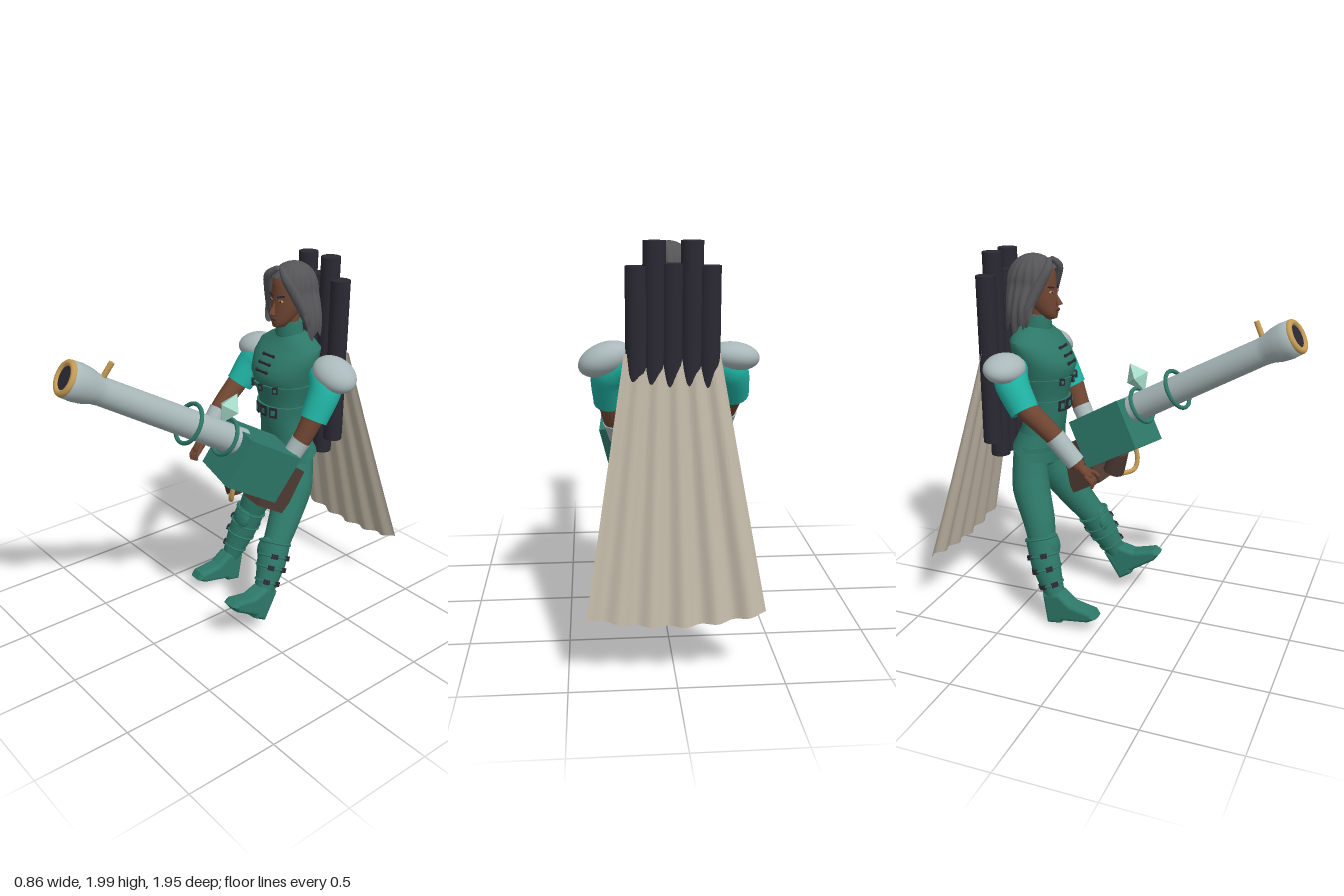
import * as THREE from 'three';
import { toCreasedNormals } from 'three/addons/utils/BufferGeometryUtils.js';

const V = (x, y, z) => new THREE.Vector3(x, y, z);
const { lerp, clamp, smoothstep } = THREE.MathUtils;

export function createModel() {
  const root = new THREE.Group();
  const colour = (name, hex, side = THREE.FrontSide) => {
    const m = new THREE.MeshStandardMaterial({ color: hex, side });
    m.name = name;
    return m;
  };
  const green = colour('green leather', 0x2d7868, THREE.DoubleSide), teal = colour('bright teal', 0x20b2a2);
  const metal = colour('pale metal', 0xa9b8ba), skin = colour('skin', 0x6f4532);
  const hairMat = colour('grey hair', 0x555558, THREE.DoubleSide), dark = colour('dark iron', 0x2a2933);
  const cloth = colour('beige cloth', 0xbcb3a2, THREE.DoubleSide), gold = colour('gold', 0xc49b55);
  const brown = colour('brown leather', 0x4d3932), mint = colour('mint crystal', 0xa5d8c8);

  const add = (name, geo, mat, pos = [0, 0, 0], rot = [0, 0, 0], scale = [1, 1, 1], parent = root) => {
    const m = new THREE.Mesh(geo, mat);
    m.name = name;
    m.position.set(...pos);
    m.rotation.set(...rot);
    m.scale.set(...scale);
    parent.add(m);
    return m;
  };
  const box = (x, y, z) => new THREE.BoxGeometry(x, y, z);
  const ball = new THREE.SphereGeometry(1, 28, 18);

  // surface f(u, v); u runs anticlockwise seen from above, v runs upward
  function grid(nu, nv, f) {
    const pos = [], idx = [];
    for (let i = 0; i <= nu; i++) for (let j = 0; j <= nv; j++) pos.push(...f(i / nu, j / nv));
    for (let i = 0; i < nu; i++) for (let j = 0; j < nv; j++) {
      const a = i * (nv + 1) + j, b = a + nv + 1;
      idx.push(a, b, a + 1, b, b + 1, a + 1);
    }
    const g = new THREE.BufferGeometry();
    g.setAttribute('position', new THREE.Float32BufferAttribute(pos, 3));
    g.setIndex(idx);
    return toCreasedNormals(g, 1);
  }
  // body from horizontal ellipses: rows of [y, centre z, half width, half depth]
  const rowAt = (rows, t) => {
    const k = clamp(t, 0, 1) * (rows.length - 1), i = Math.min(Math.floor(k), rows.length - 2);
    return rows[i].map((a, n) => lerp(a, rows[i + 1][n], k - i));
  };
  const loft = (rows) => grid(36, (rows.length - 1) * 2, (u, v) => {
    const [y, z, rx, rz] = rowAt(rows, v), a = u * Math.PI * 2;
    return [Math.sin(a) * rx, y, z + Math.cos(a) * rz];
  });
  // capped limb through points [x, y, z, radius]
  function limb(name, pts, mat, parent = root) {
    const curve = new THREE.CatmullRomCurve3(pts.map(p => V(p[0], p[1], p[2])));
    const seg = pts.length * 5, n = 18, g = new THREE.TubeGeometry(curve, seg, 1, n);
    const { position: P, normal: N } = g.attributes, d = V(0, 0, 0);
    for (let i = 0; i <= seg; i++) {
      const u = clamp((i - 1) / (seg - 2), 0, 1), k = curve.getUtoTmapping(u) * (pts.length - 1);
      const a = Math.min(Math.floor(k), pts.length - 2), c = curve.getPointAt(u);
      const r = i === 0 || i === seg ? 0 : lerp(pts[a][3], pts[a + 1][3], k - a);
      for (let j = 0; j <= n; j++) {
        const q = i * (n + 1) + j;
        d.fromBufferAttribute(N, q).multiplyScalar(r).add(c);
        P.setXYZ(q, d.x, d.y, d.z);
      }
    }
    g.deleteAttribute('uv');
    g.deleteAttribute('normal');
    return add(name, toCreasedNormals(g, 0.9), mat, undefined, undefined, undefined, parent);
  }

  // torso, with a flared hem that dips at the front
  const torso = [[0.84, -0.46, 0.13, 0.09], [0.89, -0.46, 0.165, 0.115], [0.95, -0.45, 0.168, 0.118], [1.05, -0.425, 0.145, 0.115],
    [1.14, -0.41, 0.132, 0.115], [1.24, -0.41, 0.142, 0.125], [1.32, -0.41, 0.162, 0.145], [1.41, -0.405, 0.185, 0.165],
    [1.49, -0.425, 0.205, 0.145], [1.55, -0.455, 0.2, 0.12], [1.59, -0.46, 0.14, 0.095], [1.62, -0.45, 0.075, 0.07]];
  add('tunic', loft(torso), green);
  add('tunicHem', grid(48, 4, (u, v) => {
    const a = (u * 2 - 1) * Math.PI, w = lerp(0.19, 0.15, v);
    return [Math.sin(a) * w, lerp(0.915 - 0.045 * Math.cos(a), 1.04, v), lerp(-0.457, -0.43, v) + Math.cos(a) * lerp(0.13, 0.118, v)];
  }), green);
  add('collar', loft([[1.58, -0.45, 0.085, 0.08], [1.62, -0.44, 0.078, 0.072], [1.68, -0.44, 0.072, 0.066], [1.681, -0.44, 0.05, 0.05]]), green);
  add('neck', new THREE.CylinderGeometry(0.055, 0.06, 0.12, 20), skin, [0, 1.69, -0.43]);
  // belts and their buckles
  const torsoAt = (y) => {
    const i = torso.findIndex(r => r[0] > y) - 1, a = torso[i], b = torso[i + 1];
    return a.map((q, n) => lerp(q, b[n], (y - a[0]) / (b[0] - a[0])));
  };
  for (const [y, h, xs, size] of [[0.96, 0.03, [], 0], [1.2, 0.06, [-0.06, 0, 0.06], 0.058], [1.34, 0.03, [-0.09, 0, 0.09], 0.036]]) {
    const ring = (yy, e) => { const r = torsoAt(yy); return [yy, r[1], r[2] + e, r[3] + e]; };
    add('belt', loft([ring(y - h / 2, 0), ring(y - h / 2, 0.012), ring(y + h / 2, 0.012), ring(y + h / 2, 0)]), green);
    const [, cz, rx, rz] = torsoAt(y);
    for (const x of xs) {
      const a = Math.asin(x / rx), pos = [x, y, cz + Math.cos(a) * rz + 0.014];
      add('beltBuckle', box(size * 0.75, size, 0.016), dark, pos, [0, a, 0]);
      add('beltTongue', box(size * 0.42, size * 0.5, 0.02), green, pos, [0, a, 0]);
    }
  }
  for (const y of [1.43, 1.47, 1.51]) {
    const [, cz, , rz] = torsoAt(y);
    add('chestClasp', box(0.07, 0.01, 0.012), dark, [0, y, cz + rz]);
    for (const s of [-1, 1]) add('claspStud', ball, dark, [s * 0.038, y, cz + rz], undefined, [0.01, 0.01, 0.008]);
  }

  // head and face
  add('head', loft([[1.648, -0.37, 0.005, 0.005], [1.66, -0.37, 0.032, 0.04], [1.69, -0.385, 0.055, 0.06], [1.73, -0.405, 0.071, 0.077],
    [1.78, -0.425, 0.083, 0.094], [1.84, -0.435, 0.088, 0.1], [1.9, -0.44, 0.085, 0.1], [1.95, -0.45, 0.06, 0.08], [1.975, -0.45, 0.005, 0.005]]), skin);
  add('nose', new THREE.ConeGeometry(0.019, 0.075, 10), skin, [0, 1.765, -0.325], [-0.3, 0, 0]);
  add('lips', ball, brown, [0, 1.705, -0.325], undefined, [0.023, 0.009, 0.009]);
  for (const s of [-1, 1]) {
    add('eye', ball, gold, [s * 0.035, 1.8, -0.343], [0, s * 0.35, 0], [0.015, 0.007, 0.006]);
    add('pupil', ball, dark, [s * 0.035, 1.8, -0.338], undefined, [0.006, 0.006, 0.004]);
    add('eyebrow', box(0.042, 0.009, 0.009), dark, [s * 0.036, 1.825, -0.342], [0, s * 0.35, s * 0.2]);
    add('ear', ball, skin, [s * 0.088, 1.78, -0.43], undefined, [0.012, 0.032, 0.02]);
  }
  // ridged hair, short over the face and falling at the sides and back
  add('hair', grid(160, 22, (u, v) => {
    const a = (u * 2 - 1) * Math.PI, F = smoothstep(Math.abs(a), 0.6, 1.5), t = (1 - v) * lerp(0.33, 1, F);
    const s = Math.max(0, t - 0.5) * 2, R = (s ? 1 : Math.sin(Math.PI * t)) * (1 + 0.035 * Math.cos(18 * a + 4 * t));
    const y = s ? 1.84 - 0.22 * s - 0.025 * s * Math.sin(9 * a) : 1.84 + 0.15 * Math.cos(Math.PI * t);
    return [Math.sin(a) * R * 0.122 * (1 + 0.38 * Math.sin(s * 2.2)), y, -0.458 + Math.cos(a) * R * 0.14];
  }), hairMat);
  for (const s of [-1, 1]) limb('frontLock', [[s * 0.015, 1.965, -0.36, 0.014], [s * 0.065, 1.925, -0.345, 0.024],
    [s * 0.105, 1.83, -0.385, 0.028], [s * 0.14, 1.72, -0.43, 0.026], [s * 0.15, 1.62, -0.455, 0.004]], hairMat);

  // arms: sleeve, forearm, bracer, shoulder pad
  const arms = {
    right: [[[-0.2, 1.43, -0.49, 0.075], [-0.29, 1.38, -0.46, 0.09], [-0.33, 1.24, -0.37, 0.076]],
      [[-0.33, 1.26, -0.37, 0.058], [-0.32, 1.13, -0.22, 0.05], [-0.305, 0.97, -0.08, 0.034]],
      [[-0.32, 1.12, -0.21, 0.054], [-0.307, 0.99, -0.1, 0.049]]],
    left: [[[0.2, 1.43, -0.49, 0.075], [0.275, 1.38, -0.46, 0.09], [0.285, 1.21, -0.37, 0.074]],
      [[0.285, 1.23, -0.37, 0.058], [0.26, 1.1, -0.31, 0.05], [0.22, 0.97, -0.23, 0.034]],
      [[0.26, 1.1, -0.31, 0.054], [0.235, 1.0, -0.25, 0.049]]],
  };
  for (const [side, [sleeve, fore, band]] of Object.entries(arms)) {
    limb(side + 'Sleeve', sleeve, teal);
    limb(side + 'Forearm', fore, skin);
    limb(side + 'Bracer', band, metal);
  }
  add('rightShoulderPad', ball, metal, [-0.305, 1.45, -0.49], [0.15, 0, 0.1], [0.128, 0.07, 0.104]);
  add('leftShoulderPad', ball, metal, [0.305, 1.445, -0.49], [0.15, 0, -0.38], [0.13, 0.078, 0.104]);
  // hands
  add('rightPalm', ball, skin, [-0.298, 0.945, -0.055], [-0.8, 0, 0], [0.032, 0.05, 0.025]);
  for (let i = 0; i < 4; i++) {
    const x = -0.325 + i * 0.017;
    limb('rightFinger', [[x, 0.93, -0.045, 0.011], [x + 0.004, 0.895, -0.012, 0.01], [x + 0.012, 0.865 + i * 0.004, -0.01, 0.007]], skin);
  }
  limb('rightThumb', [[-0.28, 0.95, -0.05, 0.013], [-0.255, 0.925, -0.015, 0.011], [-0.25, 0.905, 0.005, 0.007]], skin);
  add('leftHand', ball, skin, [0.2, 0.95, -0.21], [-0.6, 0, 0], [0.045, 0.05, 0.04]);

  // legs with strapped boots; the left one steps forward
  const shoe = new THREE.Shape([[-0.042, -0.128], [0.015, -0.128], [0.028, -0.112], [0.19, -0.112], [0.222, -0.1], [0.215, -0.085],
    [0.17, -0.07], [0.1, -0.045], [0.04, 0.02], [-0.04, 0.02]].map(p => new THREE.Vector2(...p)));
  const shoeGeo = new THREE.ExtrudeGeometry(shoe, { depth: 0.044, bevelSize: 0.022, bevelThickness: 0.03, bevelOffset: -0.004, bevelSegments: 4 });
  shoeGeo.translate(0, 0, -0.022).rotateY(-Math.PI / 2);
  const legs = {
    right: { s: -1, thigh: [[-0.08, 0.93, -0.475, 0.09], [-0.125, 0.73, -0.45, 0.104], [-0.175, 0.56, -0.385, 0.088], [-0.21, 0.42, -0.35, 0.07]],
      boot: [[-0.2, 0.48, -0.365, 0.086], [-0.235, 0.33, -0.32, 0.08], [-0.262, 0.16, -0.255, 0.052]], pitch: 0.17, yaw: -0.08 },
    left: { s: 1, thigh: [[0.08, 0.93, -0.455, 0.09], [0.12, 0.75, -0.4, 0.104], [0.16, 0.59, -0.3, 0.088], [0.2, 0.44, -0.19, 0.07]],
      boot: [[0.185, 0.485, -0.215, 0.086], [0.213, 0.37, -0.16, 0.08], [0.24, 0.225, -0.085, 0.052]], pitch: 0.56, yaw: 0.08 },
  };
  for (const [side, { s, thigh, boot, pitch, yaw }] of Object.entries(legs)) {
    limb(side + 'Thigh', thigh, green);
    limb(side + 'Boot', boot, green);
    const [x, y, z] = boot[2];
    add(side + 'Shoe', shoeGeo, green, [x, y, z]).rotation.set(-pitch, yaw, 0, 'YXZ');
    const path = new THREE.CatmullRomCurve3(boot.map(p => V(...p)));
    for (const [t, r] of [[0.03, 0.086], [0.32, 0.084], [0.55, 0.079], [0.8, 0.064]]) {
      const strap = new THREE.Group();
      strap.name = side + 'BootStrap';
      strap.position.copy(path.getPoint(t));
      strap.lookAt(path.getPoint(t).add(path.getTangent(t)));
      root.add(strap);
      add('strap', new THREE.TorusGeometry(r, 0.006, 8, 28), green, undefined, undefined, undefined, strap);
      // buckles sit at the back, outer side and front of the boot
      if (t > 0.1) for (const a of [-1.2, 0, 1.1]) add('buckle', box(0.022, 0.036, 0.026), dark,
        [s * Math.cos(a) * r, Math.sin(a) * r, 0], [0, 0, s * a], undefined, strap);
    }
    const [kx, ky, kz] = boot[0];
    add(side + 'KneeGuard', ball, green, [kx, ky - 0.03, kz + 0.07], [-0.3, 0, 0], [0.06, 0.075, 0.032]);
  }

  // tubes on the back and the pleated cape
  [[-0.17, 1.89, 0.99], [-0.09, 2, 0.89], [0, 1.9, 0.89], [0.08, 2, 0.89], [0.16, 1.89, 0.99]].forEach(([x, top, low]) =>
    add('backTube', new THREE.CylinderGeometry(0.052, 0.052, top - low, 24), dark, [x, (top + low) / 2, -0.648]));
  add('cape', grid(72, 12, (u, v) => {
    const e = 2 * u - 1;
    return [e * lerp(0.41, 0.22, v), lerp(0.29, 1.5, v) + 0.055 * e * e * (1 - v),
      lerp(-0.955, -0.67, v) + 0.015 * Math.cos(u * Math.PI * 11) * (1 - 0.6 * v) + 0.02 * v * (1 - v)];
  }), cloth);

  // cannon: local z runs along the barrel
  const gun = new THREE.Group();
  gun.name = 'cannon';
  gun.position.set(0.135, 1.162, 0.05);
  gun.lookAt(V(0.135 - 0.14, 1.162 + 0.577, 1.05));
  root.add(gun);
  const onGun = (name, geo, mat, pos, rot, scale) => add(name, geo, mat, pos, rot, scale, gun);
  const profile = [[0.077, -0.05], [0.076, 0], [0.069, 0.82], [0.073, 0.86], [0.087, 0.91], [0.093, 0.96], [0.09, 1.01], [0.06, 1.018]];
  onGun('barrel', new THREE.LatheGeometry(profile.map(p => new THREE.Vector2(...p)), 36).rotateX(Math.PI / 2), metal);
  onGun('muzzleRing', new THREE.TorusGeometry(0.073, 0.017, 12, 36), gold, [0, 0, 1.015]);
  onGun('bore', new THREE.CircleGeometry(0.064, 32), dark, [0, 0, 1.02]);
  onGun('sight', new THREE.CylinderGeometry(0.014, 0.014, 0.085, 12), gold, [0.02, 0.105, 0.85], [0, 0, -0.2]);
  onGun('frontHoop', new THREE.TorusGeometry(0.103, 0.011, 10, 40), green, [0, 0, 0.3]);
  onGun('rearHoop', new THREE.TorusGeometry(0.096, 0.011, 10, 40), green, [0, 0, 0.06]);
  onGun('crystal', new THREE.OctahedronGeometry(1), mint, [0, 0.145, 0.11], [-0.05, 0.25, 0], [0.066, 0.085, 0.066]);
  onGun('breechBox', box(0.28, 0.275, 0.345), green, [0, -0.07, -0.168], [0, 0, -0.12]);
  add('stock', box(0.14, 0.26, 0.2), brown, [0.125, 0.81, -0.247]).quaternion.copy(gun.quaternion);
  add('foreGrip', new THREE.CylinderGeometry(0.05, 0.058, 0.13, 20), brown, [0.052, 0.88, -0.015], [0.3, 0, 0.1]);
  limb('triggerPipe', [[0.155, 0.96, 0.05, 0.013], [0.152, 0.87, 0.07, 0.013], [0.13, 0.815, 0.06, 0.013], [0.05, 0.805, 0, 0.013]], gold);
  return root;
}
